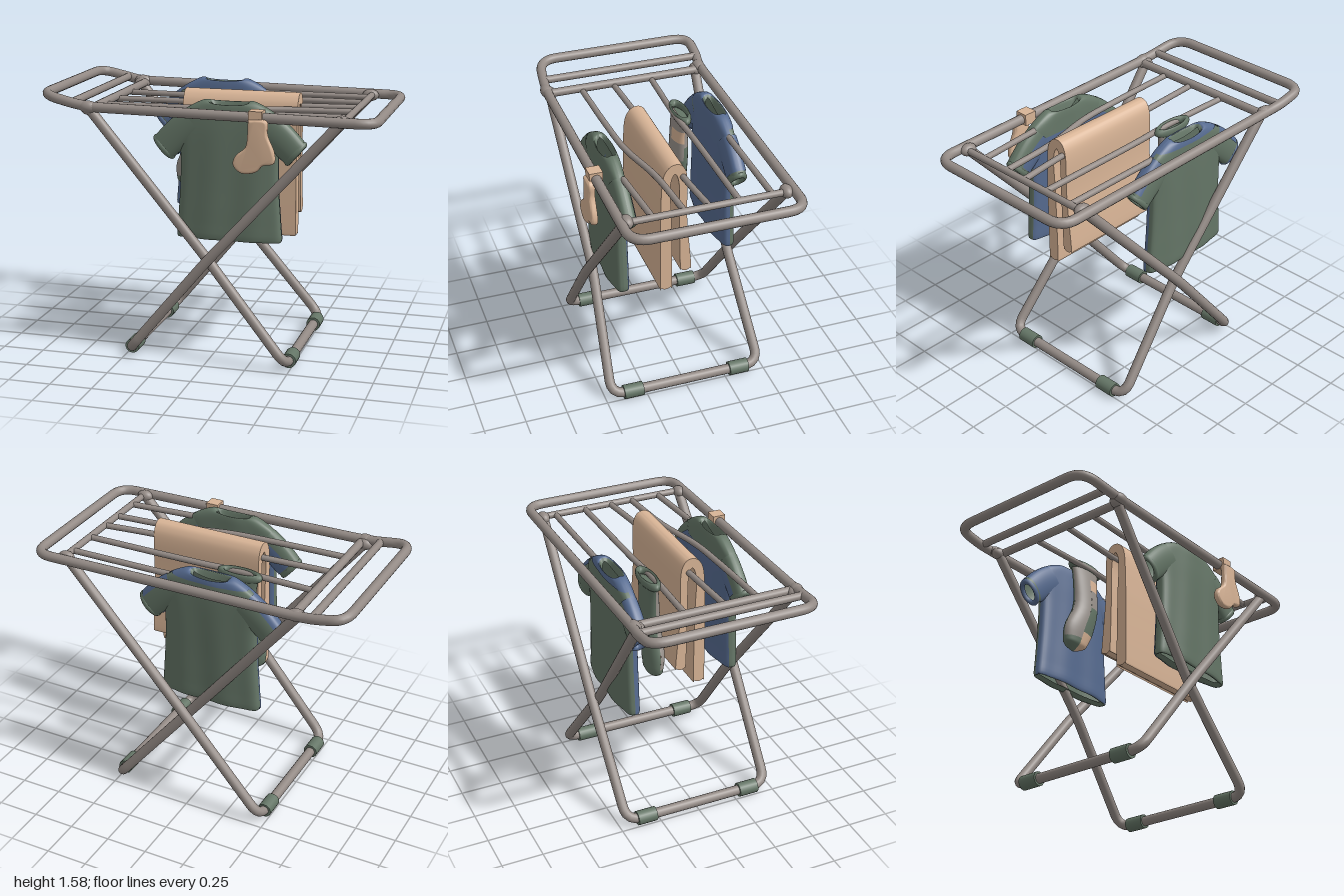
import * as THREE from 'three';
import { toCreasedNormals } from 'three/addons/utils/BufferGeometryUtils.js';

const mat = (name, color, side = THREE.FrontSide) => {
  const m = new THREE.MeshStandardMaterial({ color, side });
  m.name = name;
  return m;
};
const V = (x, y, z) => new THREE.Vector3(x, y, z);

// Straight path through points with rounded corners
function roundedPath(pts, r, closed = false) {
  const path = new THREE.CurvePath();
  const n = pts.length;
  const toward = (a, b) => a.clone().add(b.clone().sub(a).setLength(Math.min(r, a.distanceTo(b) * 0.45)));
  let start = closed ? toward(pts[0], pts[1]) : pts[0];
  for (let i = 1; i < (closed ? n + 1 : n - 1); i++) {
    const p = pts[i % n];
    const a = toward(p, pts[i - 1]), b = toward(p, pts[(i + 1) % n]);
    path.add(new THREE.LineCurve3(start, a));
    path.add(new THREE.QuadraticBezierCurve3(a, p, b));
    start = b;
  }
  if (!closed) path.add(new THREE.LineCurve3(start, pts[n - 1]));
  return path;
}

// Smooth patch of fn(u, v) -> Vector3 over a range of u and v
function patch(fn, [u0, u1], [v0, v1], nu = 24, nv = 24) {
  const pos = [], idx = [];
  for (let j = 0; j <= nv; j++)
    for (let i = 0; i <= nu; i++) pos.push(...fn(u0 + (u1 - u0) * i / nu, v0 + (v1 - v0) * j / nv).toArray());
  for (let j = 0; j < nv; j++)
    for (let i = 0; i < nu; i++) {
      const a = j * (nu + 1) + i, b = a + nu + 1;
      idx.push(a, a + 1, b, b, a + 1, b + 1);
    }
  const g = new THREE.BufferGeometry();
  g.setAttribute('position', new THREE.Float32BufferAttribute(pos, 3));
  g.setIndex(idx);
  g.computeVertexNormals();
  return g;
}

export function createModel() {
  const root = new THREE.Group();
  root.name = 'dryingRack';
  const metal = mat('warmGreyMetal', 0x938a85);
  const green = mat('sageGreen', 0x647566, THREE.DoubleSide);
  const blue = mat('denimBlue', 0x566b90, THREE.DoubleSide);
  const tan = mat('sandTan', 0xd8b496, THREE.DoubleSide);
  const grey = mat('sockGrey', 0x98918b, THREE.DoubleSide);

  const add = (name, geo, m, parent = root) => {
    const mesh = new THREE.Mesh(geo, m);
    mesh.name = name;
    parent.add(mesh);
    return mesh;
  };
  const tube = (name, curve, r, seg = 24, closed = false) =>
    add(name, new THREE.TubeGeometry(curve, seg, r, 14, closed), metal);
  const ball = (name, p, s, m = metal) => {
    const b = add(name, new THREE.SphereGeometry(1, 20, 14), m);
    b.position.copy(p);
    b.scale.set(...s);
  };

  // Top frame with a raised end
  tube('topFrame', roundedPath([
    V(-0.97, 1.55, 0.45), V(-0.7, 1.495, 0.485), V(0.968, 1.475, 0.485),
    V(0.968, 1.475, -0.495), V(-0.7, 1.495, -0.495), V(-0.8, 1.515, -0.515), V(-0.97, 1.55, -0.515),
  ], 0.11, true), 0.029, 260, true);

  // Crossbars
  for (const [x, y, z0, z1, r] of [
    [-0.78, 1.515, -0.515, 0.465, 0.023], [-0.66, 1.487, -0.49, 0.48, 0.025], [0.79, 1.477, -0.47, 0.46, 0.02],
  ]) tube('crossbar', new THREE.LineCurve3(V(x, y, z0), V(x, y, z1)), r, 4);

  // Drying rods, slightly bent
  for (const rod of [
    [[0.15, -0.365], [0.79, -0.37]],
    [[-0.66, -0.17], [-0.15, -0.16], [0.05, -0.17], [0.79, -0.18]],
    [[-0.66, 0.07], [-0.25, 0.05], [0.45, 0.025], [0.79, -0.01]],
    [[-0.66, 0.27], [-0.2, 0.255], [0.08, 0.235], [0.4, 0.165], [0.79, 0.13]],
    [[0.38, 0.342], [0.79, 0.31]],
  ]) tube('dryingRod', new THREE.CatmullRomCurve3(rod.map(([x, z]) => V(x, 1.475, z))), 0.018, 30);

  // Crossing U-shaped legs
  const leg = (name, top, mid, foot) => {
    const side = [top, mid, foot];
    const other = side.map((p) => V(p.x, p.y, -p.z)).reverse();
    tube(name, roundedPath([...side, ...other], 0.09), 0.03, 160);
    for (const s of [1, -1]) {
      ball('legJoint', V(top.x, top.y, s * top.z), [0.05, 0.036, 0.036]);
      // Rubber foot sleeves
      const f = add('footSleeve', new THREE.CylinderGeometry(0.043, 0.043, 0.12, 18), green);
      f.rotation.x = Math.PI / 2;
      f.position.set(foot.x, foot.y, s * 0.335);
    }
  };
  leg('innerLeg', V(-0.68, 1.48, 0.465), V(0.01, 0.625, 0.425), V(0.485, 0.045, 0.47));
  leg('outerLeg', V(0.78, 1.475, 0.452), V(0.01, 0.625, 0.472), V(-0.47, 0.045, 0.46));
  for (const s of [1, -1]) {
    ball('pivot', V(0.01, 0.625, s * 0.445), [0.025, 0.025, 0.045]);
    ball('frameJoint', V(-0.68, 1.495, s * 0.485), [0.055, 0.036, 0.036]);
  }

  // T-shirts: green with blue panels
  const torso = new THREE.CatmullRomCurve3([ // half width, height, half depth
    V(0.275, 0.765, 0.025), V(0.306, 0.745, 0.055), V(0.302, 0.85, 0.06), V(0.288, 1.05, 0.06),
    V(0.285, 1.25, 0.06), V(0.3, 1.38, 0.058), V(0.29, 1.46, 0.054), V(0.2, 1.525, 0.05), V(0.125, 1.552, 0.042), V(0.105, 1.535, 0.03),
  ]);
  const full = [0, 1];
  // half is the z side, grow lifts a panel off the cloth
  const body = (half, dipDepth, grow) => (u, v) => {
    const a = u * Math.PI, p = torso.getPoint(v), s = Math.abs(Math.sin(a));
    const fold = 1 + 0.1 * Math.sin(a * 7 + v * 3) * s * (1 - v);
    return V(Math.cos(a) * (p.x + grow), p.y - dipDepth * s * v ** 8 + grow * v, half * s ** 0.6 * (p.z * fold + grow));
  };
  const sleeve = (half, sx, grow) => (u, v) => {
    const a = u * Math.PI, c = Math.cos(a) * (0.098 - 0.016 * v + grow);
    return V(sx * (0.2 + 0.185 * v + c * 0.66), 1.415 - 0.15 * v + c * 0.75 + 0.012 * Math.sin(v * Math.PI),
      half * Math.abs(Math.sin(a)) ** 0.7 * (0.05 + grow));
  };
  const shirt = (name, cx, cz, out, panels) => {
    const g = new THREE.Group();
    g.name = name;
    g.position.set(cx, 0, cz);
    root.add(g);
    const dip = (half) => (half === out ? 0.07 : 0.04);
    for (const half of [1, -1]) {
      add('shirtBody', patch(body(half, dip(half), 0), full, full, 28, 36), green, g);
      for (const sx of [1, -1]) add('sleeve', patch(sleeve(half, sx, 0), full, full, 16, 10), green, g);
    }
    for (const [half, us, vs] of panels.body)
      add('bluePanel', patch(body(half, dip(half), 0.004), us, vs, 28, 36), blue, g);
    for (const sx of [1, -1]) {
      for (const [half, us] of panels.sleeve)
        add('blueSleevePanel', patch(sleeve(half, sx, 0.004), us, [0, 0.92], 16, 10), blue, g);
      // Rolled cuffs
      const cuff = add('sleeveCuff', new THREE.TorusGeometry(0.07, 0.018, 10, 28), sx > 0 ? green : panels.farCuff, g);
      cuff.position.set(sx * 0.385, 1.265, 0);
      cuff.scale.set(0.62, 1, 1);
      cuff.rotation.set(0, Math.PI / 2, sx * -0.72, 'ZYX');
    }
  };
  shirt('frontShirt', 0.12, 0.362, 1, {
    body: [[-1, [0.06, 0.94], [0.07, 0.6]]], sleeve: [[-1, [0.4, 1]]], farCuff: green,
  });
  // The back shirt's blue face wraps over its shoulders
  shirt('backShirt', -0.11, -0.375, -1, {
    body: [[1, full, [0.07, 0.97]], [-1, full, [0.74, 0.93]]], sleeve: [[1, full], [-1, [0, 0.28]]], farCuff: blue,
  });

  // Towel folded over a rod, profile as [z, y]
  const towelProfile = new THREE.SplineCurve([
    [0.155, 1.2], [0.145, 1.45], [0.115, 1.535], [0.065, 1.56], [0.02, 1.535], [-0.002, 1.45],
    [-0.003, 1.2], [-0.03, 0.88], [-0.022, 0.85], [0.005, 0.838], [0.028, 0.85], [0.035, 0.88], [0.043, 1.2], [0.045, 1.42],
    [0.07, 1.5], [0.098, 1.42], [0.09, 1.2], [0.085, 0.77], [0.093, 0.74], [0.12, 0.73], [0.147, 0.74], [0.155, 0.77], [0.155, 1.2],
  ].map(([z, y]) => new THREE.Vector2(-z, y)));
  const towel = new THREE.ExtrudeGeometry(new THREE.Shape(towelProfile.getPoints(132)), {
    depth: 0.685, steps: 1, bevelEnabled: false,
  });
  towel.rotateY(Math.PI / 2);
  towel.translate(-0.222, 0, 0);
  add('towel', toCreasedNormals(towel, 0.8), tan);

  // Small sock pegged to the front rail
  const sockOutline = new THREE.SplineCurve([
    [0.275, 1.47], [0.37, 1.47], [0.378, 1.39], [0.415, 1.3], [0.415, 1.24], [0.355, 1.225], [0.31, 1.185],
    [0.235, 1.178], [0.19, 1.22], [0.205, 1.27], [0.26, 1.32], [0.272, 1.39], [0.275, 1.47],
  ].map(([x, y]) => new THREE.Vector2(x, y)));
  const sock = new THREE.ExtrudeGeometry(new THREE.Shape(sockOutline.getPoints(60)), {
    depth: 0.012, bevelEnabled: true, bevelThickness: 0.014, bevelSize: 0.014, bevelOffset: -0.01, bevelSegments: 4,
  });
  sock.translate(0, 0, 0.514);
  add('peggedSock', toCreasedNormals(sock, 0.9), tan);
  add('sockPeg', new THREE.BoxGeometry(0.078, 0.07, 0.078), tan).position.set(0.31, 1.488, 0.485);

  // Long hanging sock, coloured in bands
  const sockPath = new THREE.CatmullRomCurve3([
    V(-0.2, 1.475, -0.195), V(-0.2, 1.38, -0.19), V(-0.2, 1.2, -0.185), V(-0.25, 1.05, -0.19), V(-0.275, 0.94, -0.2), V(-0.285, 0.89, -0.2),
  ]);
  const sockSize = new THREE.CatmullRomCurve3([ // half width, unused, half depth
    V(0.115, 0, 0.04), V(0.1, 0, 0.045), V(0.098, 0, 0.052), V(0.115, 0, 0.054), V(0.09, 0, 0.048), V(0.002, 0, 0.002),
  ]);
  const sockSkin = (u, v) => {
    const a = u * Math.PI * 2, s = sockSize.getPoint(v);
    return sockPath.getPoint(v).add(V(Math.cos(a) * s.x, 0, Math.sin(a) * s.z));
  };
  for (const [name, m, us, vs] of [
    ['sockTopFront', grey, [0, 0.25], [0, 0.17]], ['sockPatch', tan, [0, 0.25], [0.17, 0.27]],
    ['sockMidFront', grey, [0, 0.25], [0.27, 0.4]], ['sockLegFront', green, [0, 0.25], [0.4, 0.66]],
    ['sockSideFront', grey, [0.25, 0.5], [0, 0.74]], ['sockToeFront', green, [0.25, 0.5], [0.74, 1]],
    ['sockBack', green, [0.5, 0.9], [0, 1]], ['sockLegBack', green, [0.9, 1], [0.3, 0.66]],
    ['sockTopBack', grey, [0.9, 1], [0, 0.3]], ['sockHeelFront', tan, [0, 0.25], [0.66, 1]],
    ['sockHeelBack', tan, [0.9, 1], [0.66, 1]],
  ]) add(name, patch(sockSkin, us, vs, 12, 14), m);
  const sockCuff = add('sockCuff', new THREE.TorusGeometry(0.115, 0.024, 10, 32), green);
  sockCuff.rotation.x = Math.PI / 2;
  sockCuff.scale.set(1, 0.36, 1);
  sockCuff.position.set(-0.2, 1.48, -0.195);
  ball('sockLining', V(-0.2, 1.455, -0.195), [0.108, 0.008, 0.04], green);
  return root;
}
